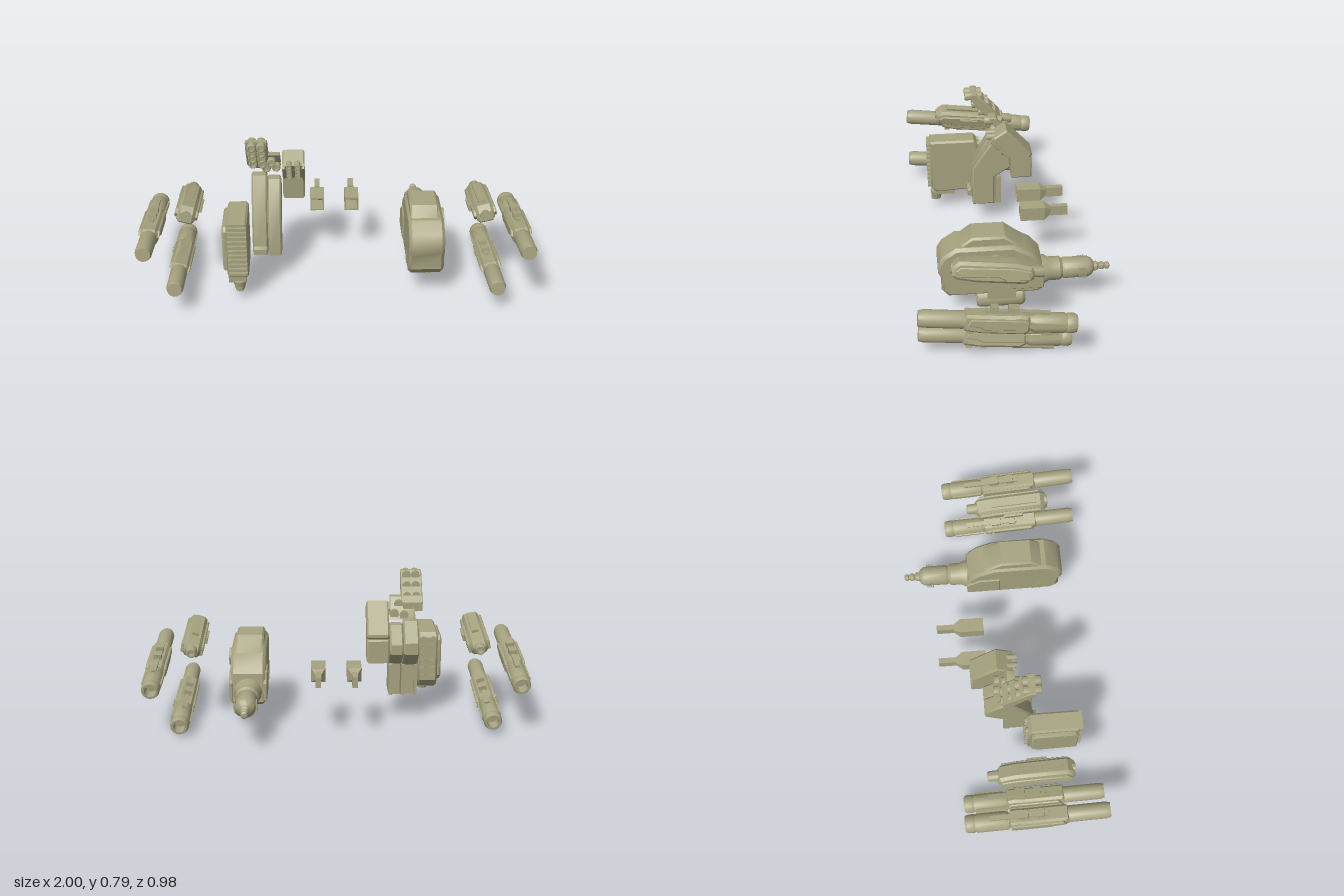
import * as THREE from 'three';
import { toCreasedNormals } from 'three/addons/utils/BufferGeometryUtils.js';

const khaki = new THREE.MeshStandardMaterial({ color: 0xa6a380 });
khaki.name = 'khaki armour';

function add(parent, name, geometry, x = 0, y = 0, z = 0) {
  const mesh = new THREE.Mesh(toCreasedNormals(geometry, 0.6), khaki);
  mesh.name = name;
  mesh.position.set(x, y, z);
  parent.add(mesh);
  return mesh;
}

function group(parent, name, x = 0, y = 0, z = 0) {
  const g = new THREE.Group();
  g.name = name;
  g.position.set(x, y, z);
  parent.add(g);
  return g;
}

const box = (w, h, d) => new THREE.BoxGeometry(w, h, d);
const rod = (r, length, sides = 16) => new THREE.CylinderGeometry(r, r, length, sides).rotateX(Math.PI / 2);
const sideDisc = (r, length) => new THREE.CylinderGeometry(r, r, length, 12).rotateZ(Math.PI / 2);

// Turned part along z; points are [radius, z] from back to front
const turned = (points, sides = 24) =>
  new THREE.LatheGeometry(points.map(p => new THREE.Vector2(...p)), sides).rotateX(Math.PI / 2);

// Side profile of [z, y] points, given a width along x and chamfered edges
function slab(points, width, bevel = 0.01) {
  const shape = new THREE.Shape(points.map(p => new THREE.Vector2(...p)));
  const depth = width - 2 * bevel;
  return new THREE.ExtrudeGeometry(shape, {
    depth, bevelEnabled: bevel > 0, bevelThickness: bevel, bevelSize: bevel, bevelOffset: -bevel, bevelSegments: 1,
  }).translate(0, 0, -depth / 2).rotateY(-Math.PI / 2);
}

// Five vent studs in two rows on both flanks
function studs(parent, x, y, z) {
  for (const s of [-1, 1])
    for (let i = 0; i < 5; i++)
      add(parent, 'ventStud', sideDisc(0.0065, 0.006), s * x, y + (i % 2) * 0.016, z - i * 0.01);
}

function longGun(parent, name, x, y, tilt, roll, vented) {
  const g = group(parent, name, x, y, 0);
  g.rotation.set(-tilt, 0, roll);
  add(g, 'barrel', turned([[0, -0.19], [0.028, -0.19], [0.03, -0.25], [0.041, -0.25], [0.047, -0.235],
    [0.047, -0.205], [0.044, -0.2], [0.048, -0.19], [0.048, -0.05], [0.038, -0.03], [0.038, 0.26], [0.042, 0.28],
    [0.042, 0.46], [0.036, 0.484], [0, 0.484]]));
  add(g, 'receiver', slab([[0.29, -0.005], [0.27, 0.045], [0.05, 0.045], [0.02, 0.052], [-0.02, 0.045],
    [-0.035, 0.01], [-0.03, -0.035], [0, -0.05], [0.2, -0.05], [0.27, -0.04]], 0.084, 0.012));
  for (const s of [-1, 1]) {
    add(g, 'sidePlate', slab([[0.26, 0], [0.245, 0.03], [0, 0.033], [-0.02, 0.02], [-0.02, -0.02],
      [0.18, -0.022], [0.2, -0.01]], 0.02, 0.004), s * 0.044, 0, 0);
    add(g, 'sleeveRail', box(0.012, 0.02, 0.16), s * 0.045, 0.01, -0.11);
  }
  add(g, 'topRail', box(0.024, 0.016, 0.3), 0, 0.05, 0.03);
  for (const [z, d] of [[0.05, 0.05], [0.14, 0.035]]) add(g, 'mountClip', box(0.04, 0.03, d), 0, 0.064, z);
  for (const z of [0.17, 0.24]) add(g, 'lowerClip', box(0.05, 0.02, 0.03), 0, -0.05, z);
  add(g, 'underTube', rod(0.018, 0.2), 0, -0.046, -0.07);
  if (vented) studs(g, 0.055, -0.006, 0.035);
}

function shortGun(parent, x, y, roll) {
  const g = group(parent, 'upperGun', x, y, 0);
  g.rotation.set(-0.12, 0, roll);
  add(g, 'receiver', slab([[0.315, -0.03], [0.315, 0.015], [0.285, 0.045], [0.02, 0.045], [-0.06, 0.03],
    [-0.075, 0], [-0.07, -0.03], [-0.03, -0.055], [0.2, -0.055], [0.29, -0.045]], 0.09, 0.014));
  for (const s of [-1, 1])
    add(g, 'sidePlate', slab([[0.3, 0], [0.28, 0.022], [0.03, 0.026], [-0.05, 0.015], [-0.055, -0.03],
      [0.06, -0.035], [0.1, -0.02], [0.28, -0.024]], 0.02, 0.004), s * 0.048, 0, 0);
  add(g, 'topRail', box(0.035, 0.02, 0.24), 0, 0.048, 0.14);
  add(g, 'sideGrip', box(0.025, 0.035, 0.1), -Math.sign(x) * 0.058, 0, 0.13);
  add(g, 'muzzle', turned([[0, -0.085], [0.015, -0.085], [0.015, -0.12], [0.023, -0.12], [0.027, -0.11], [0.027, -0.04]]));
  add(g, 'frontCap', turned([[0.026, 0.29], [0.026, 0.32], [0.016, 0.32], [0.016, 0.316], [0, 0.316]]));
  studs(g, 0.058, -0.016, 0.035);
}

function missile(parent, x, y, z, r = 0.021) {
  add(parent, 'missile', turned([[0, -0.05], [r, -0.05], [r, 0.035], [r * 0.85, 0.04], [r * 0.6, 0.04],
    [r * 0.5, 0.03], [0, 0.03]], 14), x, y, z);
}

function thruster(parent, x) {
  const g = group(parent, 'thruster', x, 0.315, 0);
  const ring = new THREE.Shape([[-0.037, -0.037], [0.037, -0.037], [0.037, 0.037], [-0.037, 0.037]].map(p => new THREE.Vector2(...p)));
  ring.holes.push(new THREE.Path([[-0.03, -0.03], [-0.03, 0.03], [0.03, 0.03], [0.03, -0.03]].map(p => new THREE.Vector2(...p))));
  add(g, 'shell', new THREE.ExtrudeGeometry(ring, { depth: 0.11, bevelEnabled: false }), 0, 0, -0.19);
  add(g, 'backPlate', box(0.074, 0.074, 0.02), 0, 0, -0.195);
  add(g, 'innerCone', new THREE.ConeGeometry(0.042, 0.06, 4).rotateY(Math.PI / 4).rotateX(Math.PI / 2), 0, 0, -0.155);
  add(g, 'neck', new THREE.CylinderGeometry(0.051, 0.022, 0.035, 4).rotateY(Math.PI / 4).rotateX(Math.PI / 2), 0, 0, -0.222);
  add(g, 'post', box(0.028, 0.054, 0.09), 0, 0, -0.283);
}

export function createModel() {
  const model = new THREE.Group();
  model.name = 'weaponSet';

  // Matching guns and thrusters on both sides
  for (const s of [-1, 1]) {
    const lift = s < 0 ? 0.015 : 0;
    longGun(model, 'outerGun', s * 0.945, 0.275 + lift, 0.118, s * 0.1, false);
    longGun(model, 'lowerGun', s * 0.805, 0.078 + lift, 0.103, s * 0.3, true);
    shortGun(model, s * 0.745, 0.418 + lift * 0.6, s * 0.25);
    thruster(model, s * 0.092);
  }

  // Heavy cannon with its magazine housing
  const cannon = group(model, 'heavyCannon', 0.455, 0, 0);
  add(cannon, 'housing', slab([[0.32, 0.13], [0.355, 0.17], [0.355, 0.24], [0.37, 0.27], [0.37, 0.32], [0.345, 0.365],
    [0.28, 0.41], [0.0, 0.41], [-0.09, 0.36], [-0.14, 0.3], [-0.15, 0.15], [-0.12, 0.13]], 0.18, 0.015));
  add(cannon, 'topCover', slab([[0.28, 0.39], [0.2, 0.455], [0.04, 0.455], [-0.05, 0.385]], 0.145, 0.01), -0.005, 0, 0);
  for (const s of [-1, 1]) {
    add(cannon, 'rearCheek', slab([[0.03, 0.16], [0.03, 0.3], [-0.08, 0.3], [-0.15, 0.25], [-0.15, 0.16]], 0.02, 0.005), s * 0.088, 0, 0);
    for (let i = 0; i < 3; i++) add(cannon, 'sideSlot', box(0.006, 0.045, 0.012), s * 0.09, 0.17, 0.25 - i * 0.018);
    for (let i = 0; i < 4; i++) add(cannon, 'coolingFin', box(0.006, 0.06, 0.006), s * 0.054, 0.205, -0.335 - i * 0.01);
  }
  add(cannon, 'sideDrum', sideDisc(0.047, 0.04), 0.088, 0.325, 0.09);
  add(cannon, 'barrel', turned([[0, -0.49], [0.011, -0.49], [0.018, -0.484], [0.018, -0.47], [0.013, -0.465], [0.02, -0.455],
    [0.02, -0.44], [0.014, -0.435], [0.024, -0.425], [0.024, -0.41], [0.04, -0.4], [0.052, -0.38], [0.054, -0.26],
    [0.048, -0.25], [0.06, -0.235], [0.06, -0.18], [0.072, -0.16], [0.072, -0.1]]), 0, 0.205, 0);
  add(cannon, 'lowerDrum', turned([[0, -0.06], [0.045, -0.06], [0.058, -0.045], [0.058, 0.165], [0.05, 0.18], [0, 0.18]]), 0.03, 0.085, 0);
  add(cannon, 'drumCrossbar', box(0.1, 0.008, 0.01), 0.03, 0.085, 0.18);
  add(cannon, 'drumBracket', box(0.05, 0.06, 0.14), 0.065, 0.13, 0.06);

  // Slatted launcher box
  const launcher = group(model, 'slattedLauncher', -0.5, 0, 0);
  add(launcher, 'casing', slab([[0.365, 0.15], [0.365, 0.445], [0.12, 0.445], [0.1, 0.42], [0.1, 0.18], [0.15, 0.13], [0.33, 0.12]], 0.105, 0.01), 0.004, 0, 0);
  add(launcher, 'sideArmour', slab([[0.36, 0.18], [0.36, 0.4], [0.34, 0.42], [0.14, 0.42], [0.12, 0.4], [0.12, 0.2], [0.16, 0.17]], 0.03, 0.008), -0.054, 0, 0);
  for (let i = 0; i < 11; i++) add(launcher, 'slat', box(0.096, 0.013, 0.022), 0.006, 0.165 + i * 0.026, 0.371);
  for (let i = 0; i < 6; i++)
    for (const x of [-0.022, 0.03]) add(launcher, 'rearPort', rod(0.016, 0.016), x, 0.2 + i * 0.042, 0.097);
  add(launcher, 'footBlock', box(0.09, 0.04, 0.12), 0, 0.12, 0.29);
  add(launcher, 'footNozzle', new THREE.CylinderGeometry(0.035, 0.024, 0.05, 16), 0.01, 0.085, 0.335);
  add(launcher, 'nozzleTip', new THREE.CylinderGeometry(0.02, 0.02, 0.02, 16), 0.01, 0.067, 0.345);

  // Folded support arm: two plates with a ribbed back channel
  const arm = group(model, 'supportArm');
  add(arm, 'outerPlate', slab([[0.13, 0.14], [0.15, 0.17], [0.13, 0.36], [0.03, 0.545], [-0.02, 0.545], [-0.11, 0.45],
    [-0.11, 0.39], [0.0, 0.3], [0.0, 0.14]], 0.08, 0.008), -0.39, 0, 0);
  add(arm, 'innerPlate', slab([[0.14, 0.13], [0.14, 0.36], [0.03, 0.525], [-0.02, 0.525], [-0.11, 0.44],
    [-0.11, 0.39], [0.02, 0.3], [0.02, 0.13]], 0.07, 0.008), -0.314, 0, 0);
  add(arm, 'toe', slab([[0.12, 0.13], [0.165, 0.15], [0.165, 0.18], [0.12, 0.21]], 0.075, 0.006), -0.39, 0, 0);
  for (const x of [-0.42, -0.355, -0.29]) add(arm, 'channelRib', box(0.018, 0.17, 0.03), x, 0.22, 0);

  // Stepped missile rack, bent towards the pod
  const rack = group(model, 'missileRack');
  add(rack, 'backPlate', slab([[0.11, 0.785], [0.14, 0.785], [0.135, 0.745], [0.02, 0.6], [-0.02, 0.6], [-0.02, 0.645]], 0.11, 0.004), -0.395, 0, 0);
  add(rack, 'bentPlate', slab([[0.01, 0.67], [0.05, 0.67], [-0.02, 0.565], [-0.06, 0.565]], 0.13, 0.004), -0.345, 0, 0);
  for (let i = 0; i < 4; i++)
    for (const x of [-0.418, -0.371]) missile(rack, x, 0.763 - i * 0.047, 0.13 - i * 0.036, 0.023);
  for (const [x, y] of [[-0.325, 0.635], [-0.302, 0.592], [-0.352, 0.585]]) missile(rack, x, y, 0.13 - (0.763 - y) * 0.77, 0.023);

  // Inner missile pod with a sloping front
  const pod = group(model, 'missilePod', -0.214, 0, 0);
  add(pod, 'podBody', slab([[0.045, 0.605], [-0.035, 0.66], [-0.17, 0.515], [-0.17, 0.5], [-0.16, 0.49], [-0.17, 0.48],
    [-0.17, 0.365], [-0.06, 0.365], [-0.05, 0.49]], 0.115, 0.008));
  for (let i = 0; i < 4; i++)
    for (const x of [-0.022, 0.022]) missile(pod, x, 0.61 - i * 0.032, 0.03 - i * 0.026, 0.015);
  for (const s of [-1, 1])
    add(pod, 'frontRim', slab([[0.05, 0.59], [0.035, 0.615], [-0.06, 0.51], [-0.05, 0.485]], 0.014, 0.002), s * 0.05, 0, 0);

  return model;
}
